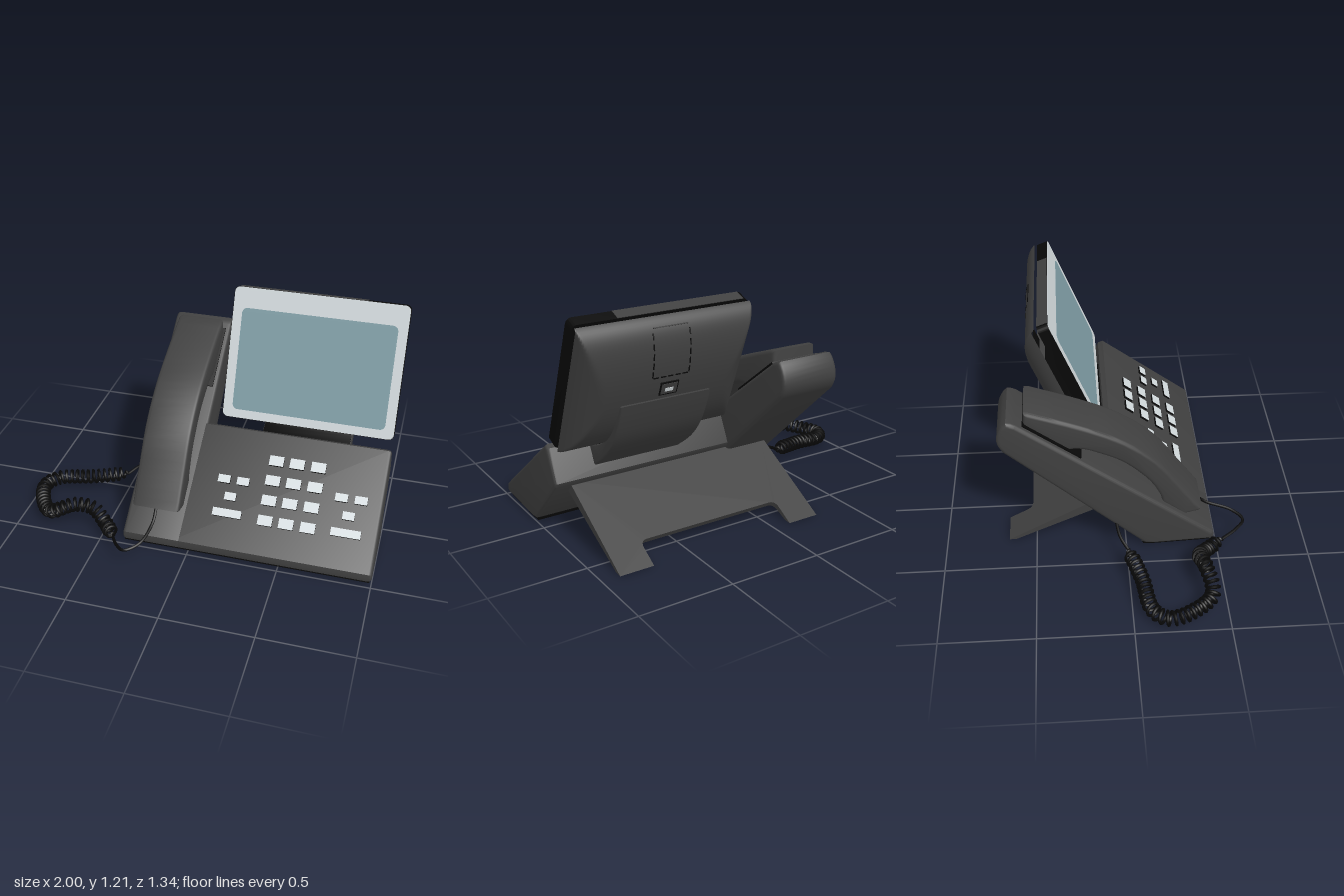
import * as THREE from 'three';
import { toCreasedNormals } from 'three/addons/utils/BufferGeometryUtils.js';

const mat = (name, color) => {
  const m = new THREE.MeshStandardMaterial({ color });
  m.name = name;
  return m;
};

const V = (x, y, z) => new THREE.Vector3(x, y, z);

export function createModel() {
  const casing = mat('charcoal casing', 0x404040);
  const black = mat('black trim', 0x080808);
  const lightGrey = mat('light grey', 0xd0d7da);
  const glass = mat('screen teal', 0x7e9ca4);

  const root = new THREE.Group();
  root.name = 'deskPhone';

  const add = (name, geo, material, parent = root) => {
    const m = new THREE.Mesh(geo, material);
    m.name = name;
    parent.add(m);
    return m;
  };
  const box = (name, w, h, d, material, x, y, z, parent) => {
    const m = add(name, new THREE.BoxGeometry(w, h, d), material, parent);
    m.position.set(x, y, z);
    return m;
  };

  // Side profile given as [z, y] points, extruded between two x positions
  const sideExtrude = (points, x0, x1, bevel) => {
    const shape = new THREE.Shape(points.map(([z, y]) => new THREE.Vector2(z, y)));
    const geo = new THREE.ExtrudeGeometry(shape, {
      depth: x1 - x0 - 2 * bevel, bevelEnabled: true, bevelSize: bevel,
      bevelThickness: bevel, bevelOffset: -bevel, bevelSegments: 3,
    });
    geo.rotateY(-Math.PI / 2).translate(x1 - bevel, 0, 0);
    return toCreasedNormals(geo, 0.6);
  };

  const smooth = (points, n) => new THREE.SplineCurve(points.map(([z, y]) => new THREE.Vector2(z, y)))
    .getSpacedPoints(n).map(p => [p.x, p.y]);

  // Rounded rectangle plate centred on x and y, thickness toward -z
  const plate = (w, h, r, d) => {
    const s = new THREE.Shape();
    const a = w / 2 - r, b = h / 2 - r;
    s.absarc(a, b, r, 0, Math.PI / 2);
    s.absarc(-a, b, r, Math.PI / 2, Math.PI);
    s.absarc(-a, -b, r, Math.PI, Math.PI * 1.5);
    s.absarc(a, -b, r, Math.PI * 1.5, Math.PI * 2);
    const geo = new THREE.ExtrudeGeometry(s, { depth: d, bevelEnabled: false, curveSegments: 6 });
    return toCreasedNormals(geo.translate(0, 0, -d), 0.6);
  };

  // Sloped base with the taller handset rest on its right, and a black sole
  const front = [[0.485, 0.072], [0.49, 0.05], [0.487, 0.03], [0.465, 0.021], [0.15, 0.004], [0.10, 0.011]];
  const restTop = smooth([[-0.64, 0.70], [-0.668, 0.76], [-0.655, 0.83], [-0.615, 0.885], [-0.565, 0.87]], 10);
  add('base', sideExtrude([...front, [-0.165, 0.285], [-0.175, 0.31], [-0.095, 0.475], [-0.065, 0.488]].reverse(),
    -0.1, 1.0, 0.018), casing);
  add('handsetRest', sideExtrude([...front, ...restTop].reverse(), -0.37, -0.03, 0.02), casing);
  add('sole', sideExtrude([[0.478, 0.026], [0.48, 0.016], [0.15, 0], [0.095, 0.002], [0.085, 0.02], [0.15, 0.012]].reverse(),
    -0.36, 0.99, 0.002), black);

  // Things placed on the sloped top face
  const slope = 0.655;
  const topY = z => 0.06 + (0.49 - z) * 0.768;
  const onSlope = (name, x, z, w, h, d, material, lift = 0) => {
    const dz = lift * Math.sin(slope), dy = lift * Math.cos(slope);
    box(name, w, h, d, material, x, topY(z) + dy, z + dz).rotation.x = slope;
  };
  const key = (name, x, z, w, d) => {
    onSlope(name + 'Body', x, z, w, 0.032, d, black);
    onSlope(name + 'Cap', x, z, w, 0.002, d, lightGrey, 0.017);
  };
  for (const z of [0.06, 0.15, 0.24, 0.33])
    for (const x of [0.395, 0.51, 0.628]) key('numberKey', x, z, 0.08, 0.056);
  for (const x of [0.182, 0.83])
    for (const [dx, z, w] of [[-0.053, 0.175, 0.068], [0.053, 0.175, 0.068], [0, 0.25, 0.064], [0, 0.325, 0.16]])
      key('functionKey', x + dx, z, w, 0.044);
  onSlope('frontSeam', -0.06, 0.43, 0.6, 0.004, 0.004, black);
  onSlope('frontSeam', 0.87, 0.43, 0.22, 0.004, 0.004, black);
  onSlope('cradleInset', -0.2, -0.39, 0.292, 0.008, 0.37, black, 0.01);

  // Arched handset
  const outer = smooth([[0.42, 0.215], [0.31, 0.37], [0.165, 0.565], [-0.015, 0.71], [-0.23, 0.815], [-0.5, 0.915]], 22);
  const inner = smooth([[-0.31, 0.67], [-0.24, 0.672], [-0.16, 0.645], [-0.015, 0.57], [0.12, 0.44], [0.185, 0.33], [0.2, 0.275]], 16);
  add('handset', sideExtrude([...outer, [-0.525, 0.915], [-0.53, 0.83], ...inner, [0.32, 0.18], [0.4, 0.2]],
    -0.33, -0.065, 0.02), casing);

  // Tilted display
  const W = 0.962, H = 0.735;
  const display = new THREE.Group();
  display.name = 'display';
  display.position.set(0.517, 0.525, -0.115);
  display.rotation.x = -0.378;
  root.add(display);
  add('displayRim', plate(W, H, 0.03, 0.062), black, display).position.y = H / 2;
  add('bezel', plate(W - 0.004, H - 0.004, 0.029, 0.002), lightGrey, display).position.set(0, H / 2, 0.002);
  add('screen', plate(0.855, 0.57, 0.03, 0.002), glass, display).position.set(0, 0.335, 0.004);
  box('rimTopCover', 0.7, 0.006, 0.06, casing, -0.1, H, -0.031, display);

  // Back shell: a curved profile whose two ends are rounded off
  const depthAt = (x, y) => {
    const v = 2 * y / H - 1, t = Math.min(1, (W / 2 - Math.abs(x)) / 0.15);
    const profile = Math.sqrt(Math.max(0, 1 - Math.abs(v) ** 2.2));
    return 0.058 + 0.165 * Math.min(profile, Math.sqrt(Math.max(0, 1 - (1 - t) ** 2)));
  };
  const shell = new THREE.PlaneGeometry(2, 2, 64, 40);
  const p = shell.attributes.position;
  for (let i = 0; i < p.count; i++) {
    const x = Math.sin(p.getX(i) * Math.PI / 2) * (W / 2 - 0.004);
    const y = H / 2 + Math.sin(p.getY(i) * Math.PI / 2) * (H / 2 - 0.003);
    p.setXYZ(i, x, y, depthAt(x, y));
  }
  shell.rotateY(Math.PI);
  shell.computeVertexNormals();
  add('displayBack', shell, casing, display);

  // Dashed cover outline and socket on the back shell
  const dash = (x, y, w, h) => {
    const m = box('coverOutline', w, h, 0.006, black, x, y, -depthAt(x, y), display);
    m.rotation.x = Math.atan((depthAt(x, y - 0.01) - depthAt(x, y + 0.01)) / 0.02);
  };
  for (const side of [-1, 1])
    for (let i = 0; i < 5; i++) dash(side * 0.1, 0.49 + i * 0.045, 0.006, 0.032);
  for (let i = -2; i <= 2; i++) dash(i * 0.04, 0.47, 0.028, 0.006);
  dash(0, 0.7, 0.19, 0.006);
  box('backSocketFrame', 0.1, 0.075, 0.012, black, 0, 0.4, -0.221, display);
  box('backSocketPlate', 0.086, 0.06, 0.006, casing, 0, 0.4, -0.226, display);
  box('backSocket', 0.045, 0.02, 0.004, lightGrey, 0, 0.395, -0.229, display);

  // Curved arm carrying the display, with a black inner skin
  const armBack = smooth([[-0.13, 0.34], [-0.28, 0.45], [-0.375, 0.56], [-0.435, 0.68], [-0.465, 0.76]], 14);
  const armFront = smooth([[-0.42, 0.76], [-0.36, 0.66], [-0.29, 0.55], [-0.2, 0.485], [-0.09, 0.45]], 12);
  add('displayArm', sideExtrude([...armBack, ...armFront].reverse(), 0.27, 0.77, 0.008), casing);
  const skin = armFront.map(([z, y]) => [z + 0.004, y + 0.006]).reverse();
  add('armSkin', sideExtrude([...skin, ...armFront], 0.275, 0.765, 0.001), black);

  // Rear stand with two feet: a wedge that thins toward the ground
  const s = new THREE.Shape();
  s.moveTo(-0.28, 0);
  s.lineTo(-0.28, -0.6);
  s.lineTo(-0.1, -0.6);
  s.lineTo(-0.1, -0.49);
  s.quadraticCurveTo(-0.1, -0.446, -0.06, -0.446);
  s.lineTo(0.68, -0.446);
  s.quadraticCurveTo(0.72, -0.446, 0.72, -0.49);
  s.lineTo(0.72, -0.6);
  s.lineTo(0.905, -0.6);
  s.lineTo(0.905, 0);
  const wedge = new THREE.ExtrudeGeometry(s, { depth: 1, bevelEnabled: false });
  const wp = wedge.attributes.position;
  for (let i = 0; i < wp.count; i++) {
    const y = wp.getY(i), under = wp.getZ(i) > 0.5;
    wp.setZ(i, under ? 0.06 + 0.07 * y : 0);
    if (under && y < -0.55) wp.setY(i, y + 0.035);
  }
  wedge.computeVertexNormals();
  const stand = add('rearStand', wedge, casing);
  stand.position.set(0, 0.292, -0.13);
  stand.rotation.x = 1.064;

  // Socket panel on the sloped underside
  const under = new THREE.Group();
  under.name = 'socketPanel';
  under.position.set(0.35, 0.135, -0.019);
  under.rotation.x = 0.803;
  root.add(under);
  box('panel', 0.62, 0.02, 0.2, black, 0, 0, 0, under);
  for (const x of [-0.24, 0.24]) {
    box('socketFrame', 0.08, 0.01, 0.07, casing, x, -0.012, -0.02, under);
    box('socket', 0.035, 0.006, 0.03, lightGrey, x, -0.016, -0.02, under);
  }
  for (const z of [-0.05, 0.01]) box('cableChannel', 0.32, 0.012, 0.022, black, -0.46, 0, z, under);

  // Cord: plain leads at both ends, a helix around a path between them
  const path = new THREE.CatmullRomCurve3([
    V(-0.41, 0.06, 0.53), V(-0.49, 0.06, 0.43), V(-0.58, 0.11, 0.38), V(-0.68, 0.13, 0.40), V(-0.82, 0.07, 0.42),
    V(-0.91, 0.055, 0.32), V(-0.957, 0.055, 0.18), V(-0.9, 0.06, 0.1), V(-0.7, 0.08, 0.06), V(-0.5, 0.1, 0.0),
  ]);
  const turns = 40, steps = turns * 12;
  const frames = path.computeFrenetFrames(steps);
  const coil = [];
  for (let i = 0; i <= steps; i++) {
    const t = i / steps, a = t * turns * Math.PI * 2;
    const r = 0.035 * Math.min(1, t * 25, (1 - t) * 25);
    coil.push(path.getPointAt(t)
      .addScaledVector(frames.normals[i], Math.cos(a) * r)
      .addScaledVector(frames.binormals[i], Math.sin(a) * r));
  }
  const tube = (name, pts, n) =>
    add(name, new THREE.TubeGeometry(new THREE.CatmullRomCurve3(pts), n, 0.0085, 6), black);
  tube('coiledCord', coil, steps * 2);
  tube('handsetLead', [V(-0.2, 0.21, 0.39), V(-0.2, 0.15, 0.46), V(-0.23, 0.11, 0.6), V(-0.3, 0.095, 0.66),
    V(-0.36, 0.08, 0.61), V(-0.41, 0.06, 0.53)], 32);
  tube('baseLead', [V(-0.5, 0.1, 0.0), V(-0.44, 0.14, -0.04), V(-0.33, 0.18, -0.06)], 16);

  return root;
}
